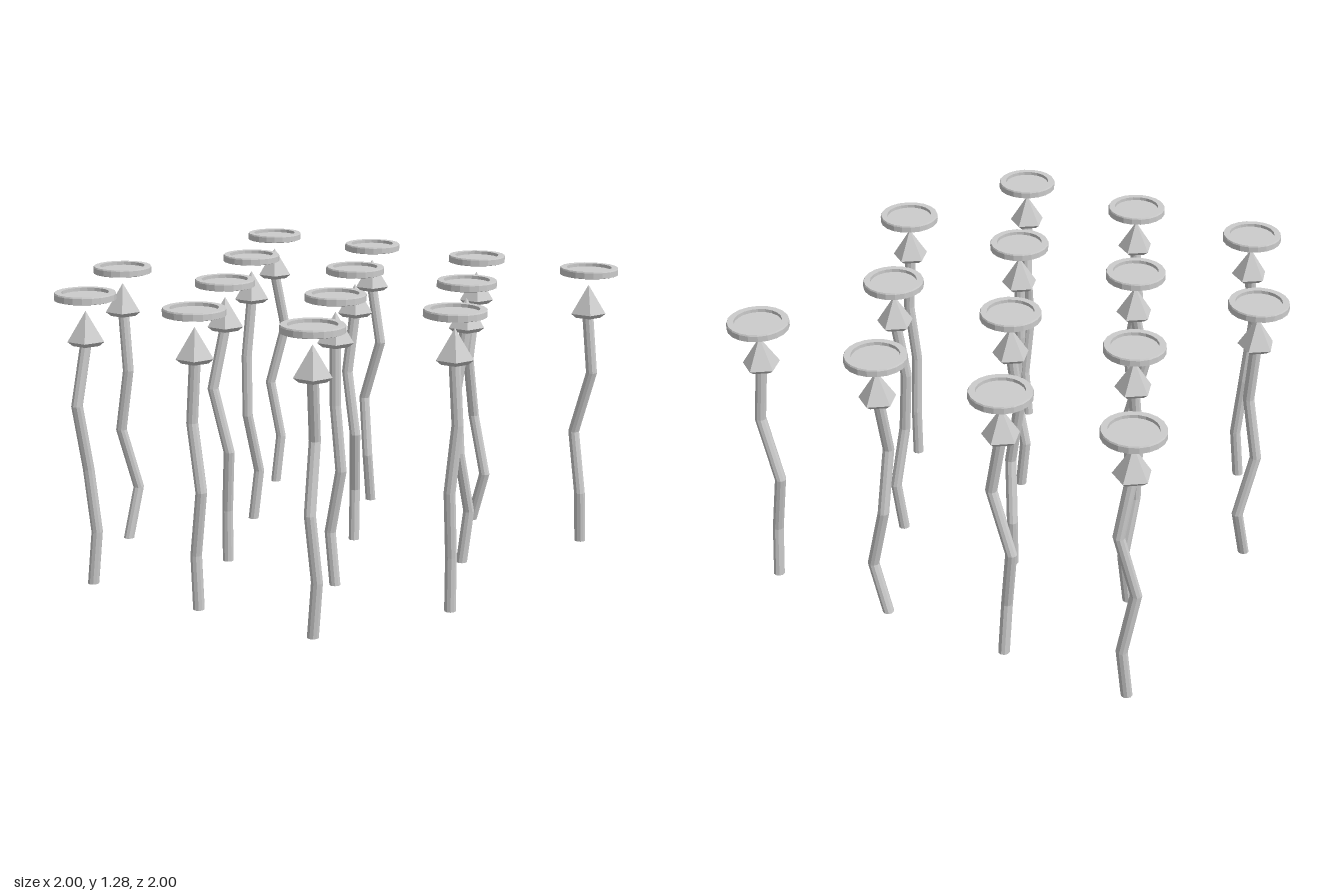
import * as THREE from 'three';

const material = new THREE.MeshStandardMaterial({ color: 0xcccccc, flatShading: true });
const RING_Y = [0, 0.235, 0.515, 0.8, 1.075];

// Each pole: x, z, then [dx, dz] of the three bends from low to high
const POLES = [
  [-0.87, -0.87, [0.015, -0.025], [-0.03, 0], [0.03, -0.045]],
  [-0.29, -0.87, [0, 0.03], [-0.04, 0], [0.05, 0]],
  [0.29, -0.87, [0.065, 0], [0, 0], [0, 0.06]],
  [0.87, -0.87, [0, 0.02], [-0.05, 0], [0.03, 0]],
  [-0.58, -0.29, [0.02, -0.02], [0, 0.04], [-0.01, 0.03]],
  [0, -0.29, [-0.01, -0.02], [0.03, 0.04], [-0.02, 0.03]],
  [0.58, -0.29, [0.02, -0.02], [0, 0.04], [-0.025, 0.03]],
  [-0.87, 0.29, [0.015, -0.06], [-0.03, 0], [0.02, 0]],
  [-0.29, 0.29, [0, 0], [0.035, 0.03], [-0.03, 0.055]],
  [0.29, 0.29, [-0.025, 0], [0.03, 0], [0, 0]],
  [0.87, 0.29, [0, 0], [0, 0.02], [0.02, 0]],
  [-0.58, 0.87, [0.02, -0.01], [0, 0.01], [-0.01, 0.06]],
  [0, 0.87, [-0.01, 0], [0.03, 0.01], [-0.02, 0]],
  [0.58, 0.87, [0.02, 0], [0, 0.02], [-0.025, -0.05]],
];

function lathe(profile, sides, phi = 0) {
  return new THREE.LatheGeometry(profile.map(([r, y]) => new THREE.Vector2(r, y)), sides, phi);
}

// Round stem whose rings are shifted sideways at each bend
function bentStem(bends) {
  const offsets = [[0, 0], ...bends, [0, 0]];
  const geometry = new THREE.CylinderGeometry(0.025, 0.025, 1, 10, 4);
  const p = geometry.attributes.position;
  for (let i = 0; i < p.count; i++) {
    const ring = Math.round((p.getY(i) + 0.5) * 4);
    const [dx, dz] = offsets[ring];
    p.setXYZ(i, p.getX(i) + dx, RING_Y[ring], p.getZ(i) + dz);
  }
  geometry.computeVertexNormals();
  return geometry;
}

export function createModel() {
  const model = new THREE.Group();
  model.name = 'poleField';

  // Five-sided pointed tip with a bevelled underside
  const tipGeometry = lathe([[0, 1.053], [0.058, 1.053], [0.081, 1.072], [0, 1.2]], 5, Math.PI);

  // Shallow dish with a raised rim
  const dishGeometry = lathe([
    [0, 1.256], [0.118, 1.256], [0.121, 1.246], [0.13, 1.249], [0.13, 1.274],
    [0.127, 1.28], [0.1, 1.28], [0.1, 1.266], [0, 1.266],
  ], 20);

  for (const [x, z, ...bends] of POLES) {
    const pole = new THREE.Group();
    pole.name = 'pole';
    const parts = { stem: bentStem(bends), tip: tipGeometry, dish: dishGeometry };
    for (const [name, geometry] of Object.entries(parts)) {
      const mesh = new THREE.Mesh(geometry, material);
      mesh.name = name;
      pole.add(mesh);
    }
    pole.position.set(x, 0, z);
    model.add(pole);
  }
  return model;
}
